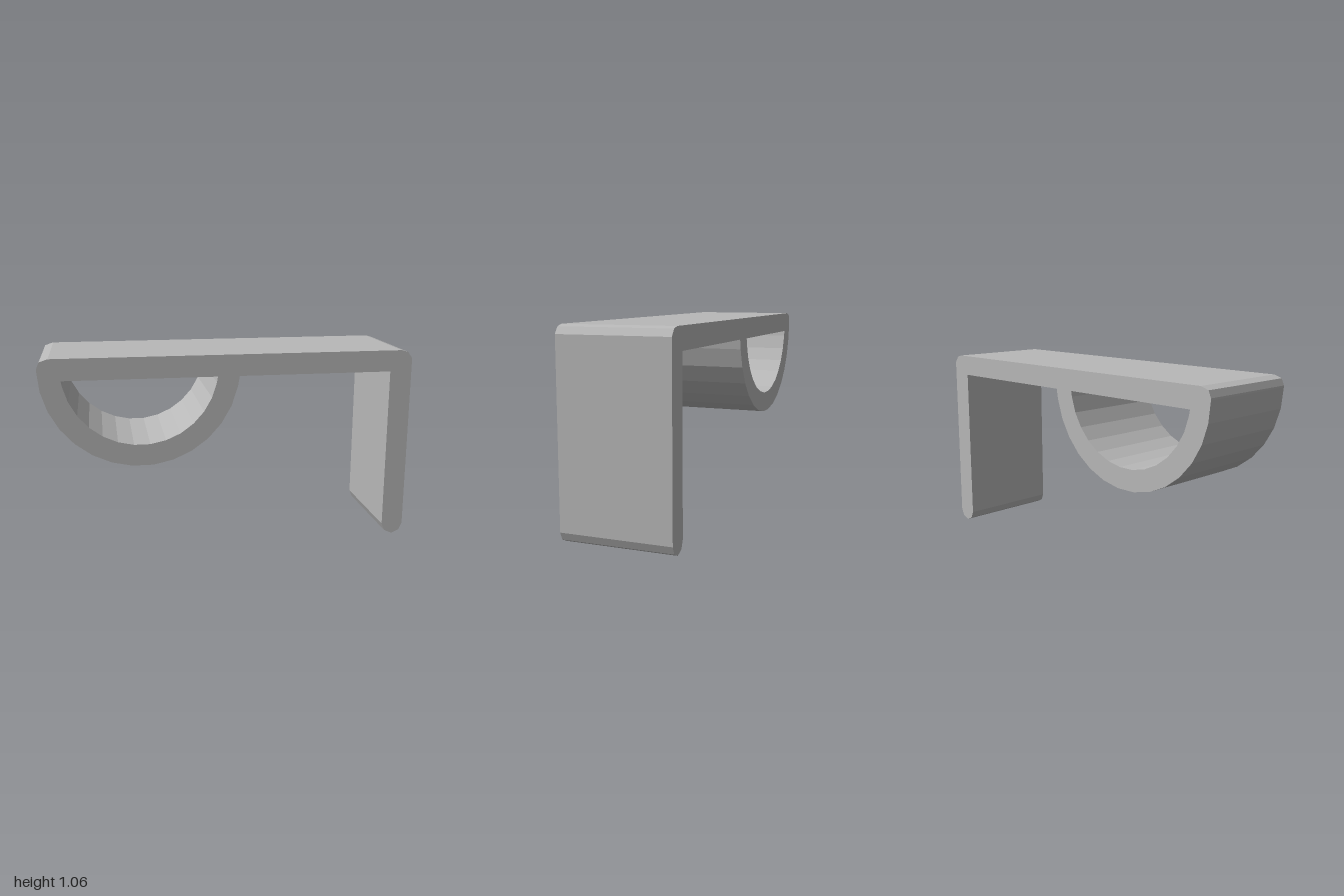
import * as THREE from 'three';

const DEPTH = 0.59;
const UNDERSIDE = 0.945; // lower face of the top bar
const CENTER = [-0.475, 1.0]; // centre of the half ring
const STEPS = 15;

// Points along the lower half circle, running left to right, without its ends
function lowerArc(radius) {
  const points = [];
  for (let i = 1; i < STEPS; i++) {
    const a = Math.PI * (1 + i / STEPS);
    points.push([CENTER[0] + radius * Math.cos(a), CENTER[1] + radius * Math.sin(a)]);
  }
  return points;
}

const toVectors = (points) => points.map(([x, y]) => new THREE.Vector2(x, y));

export function createModel() {
  const group = new THREE.Group();
  const grey = new THREE.MeshStandardMaterial({ color: 0xb8b8b8 });
  grey.name = 'grey plastic';

  // Outline: half ring, underside of the bar, rounded leg, rounded top corners
  const outline = new THREE.Shape(toVectors([
    [-1, 1.0],
    ...lowerArc(0.525),
    [0.048, UNDERSIDE], [0.88, UNDERSIDE],
    [0.88, 0.06], [0.897, 0.02], [0.94, 0], [0.983, 0.02], [1, 0.06],
    [1, 1.015], [0.975, 1.05], [0.94, 1.06],
    [-0.94, 1.06], [-0.985, 1.045], [-1, 1.01],
  ]));

  // Opening inside the half ring
  outline.holes.push(new THREE.Path(toVectors([
    [-0.881, UNDERSIDE],
    ...lowerArc(0.41),
    [-0.069, UNDERSIDE],
  ])));

  const geometry = new THREE.ExtrudeGeometry(outline, { depth: DEPTH, bevelEnabled: false });
  geometry.translate(0, 0, -DEPTH / 2);
  const hook = new THREE.Mesh(geometry, grey);
  hook.name = 'hookBracket';
  group.add(hook);
  return group;
}
